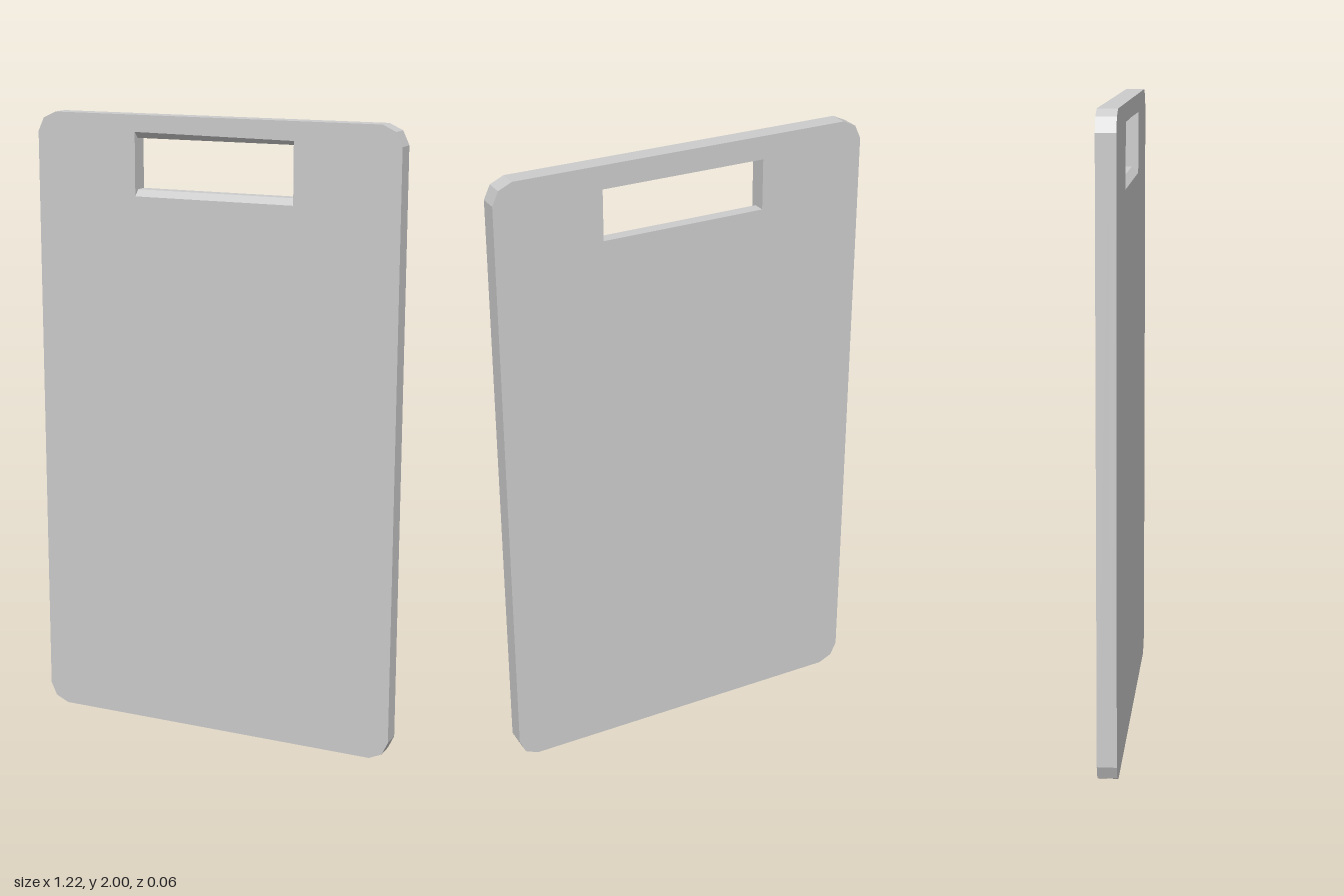
import * as THREE from 'three';

const HALF_W = 0.61, HEIGHT = 2, HALF_T = 0.03;
const SLOT = { halfW: 0.267, bottom: 1.767, top: 1.927, bevel: 0.02 };

// Rectangle whose corners are cut in two straight facets
function boardOutline() {
  const corner = [[0, 0.063], [0.02, 0.02], [0.063, 0]]; // insets from the side and end
  const points = [];
  for (const [sx, top] of [[1, false], [1, true], [-1, true], [-1, false]]) {
    const run = corner.map(([dx, dy]) =>
      new THREE.Vector2(sx * (HALF_W - dx), top ? HEIGHT - dy : dy));
    // keep the outline running counter-clockwise
    if ((sx > 0) !== top) run.reverse();
    points.push(...run);
  }
  return new THREE.Shape(points);
}

export function createModel() {
  const group = new THREE.Group();
  group.name = 'cuttingBoard';

  // Board with a handle slot
  const shape = boardOutline();
  const { halfW, bottom, top, bevel } = SLOT;
  shape.holes.push(new THREE.Path([
    new THREE.Vector2(-halfW, bottom), new THREE.Vector2(-halfW, top),
    new THREE.Vector2(halfW, top), new THREE.Vector2(halfW, bottom),
  ]));
  const geometry = new THREE.ExtrudeGeometry(shape, {
    depth: HALF_T * 2, steps: 2, bevelEnabled: false,
  });
  geometry.translate(0, 0, -HALF_T);

  // Slope the slot's upper and lower edges towards the front face
  const pos = geometry.attributes.position;
  for (let i = 0; i < pos.count; i++) {
    const x = pos.getX(i), y = pos.getY(i), z = pos.getZ(i);
    const inSlot = Math.abs(x) < 0.3 && y > 1.7 && y < 1.95;
    if (Math.abs(z) < 0.001) pos.setZ(i, 0.01);
    else if (inSlot && z > 0) pos.setY(i, y + (y > 1.85 ? bevel : -bevel));
  }
  geometry.computeVertexNormals();

  const board = new THREE.Mesh(geometry,
    new THREE.MeshStandardMaterial({ color: 0xcccccc, flatShading: true }));
  board.name = 'board';
  group.add(board);
  return group;
}
